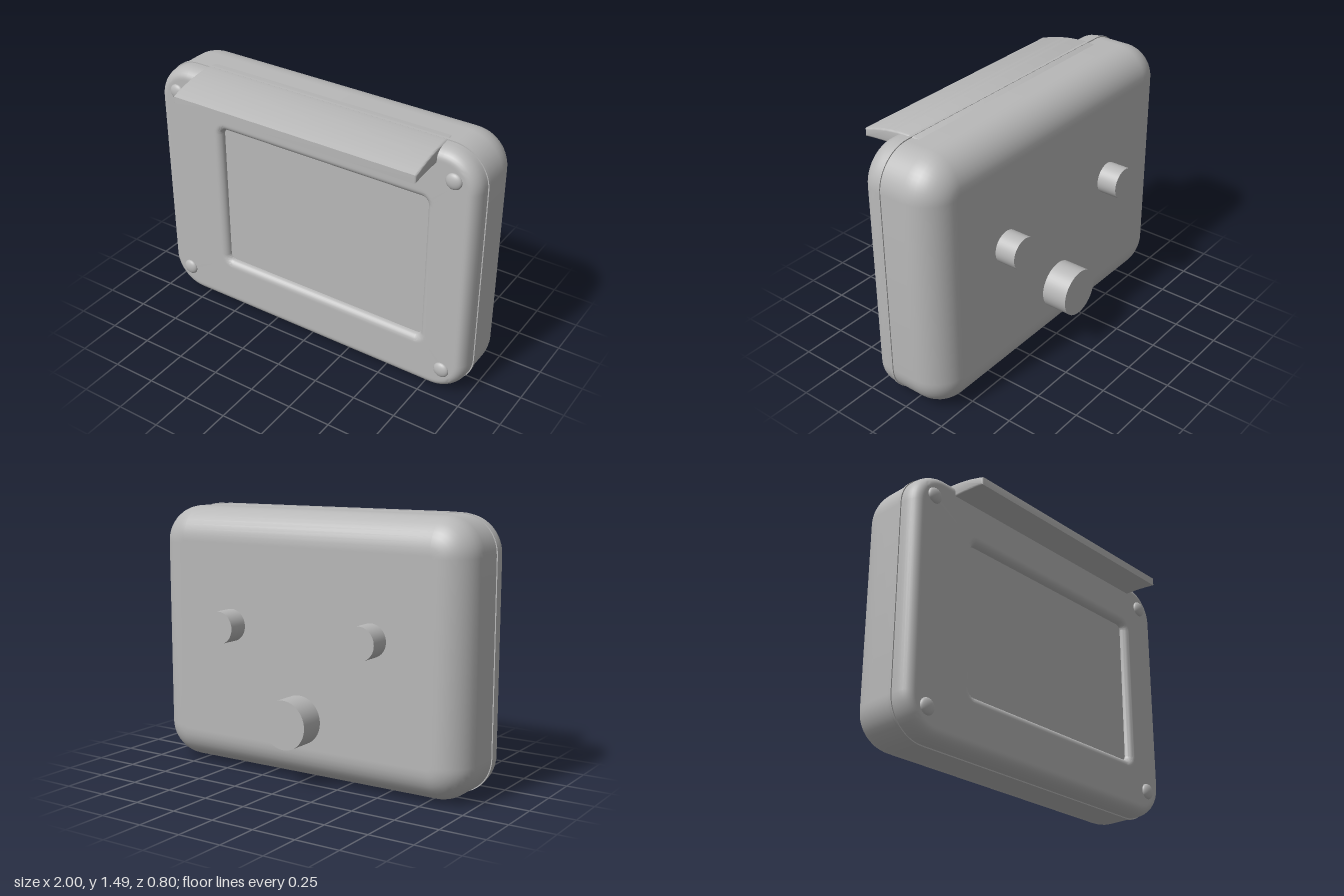
import * as THREE from 'three';
import { toCreasedNormals } from 'three/addons/utils/BufferGeometryUtils.js';

const CORNER_STEPS = 12;

// Rounded rectangle loop at depth z, counter-clockwise seen from the front
function loop(x0, x1, y0, y1, r, z) {
  const pts = [];
  const corners = [[x1 - r, y0 + r, -90], [x1 - r, y1 - r, 0], [x0 + r, y1 - r, 90], [x0 + r, y0 + r, 180]];
  for (const [cx, cy, start] of corners) {
    for (let i = 0; i <= CORNER_STEPS; i++) {
      const a = THREE.MathUtils.degToRad(start + 90 * i / CORNER_STEPS);
      pts.push(new THREE.Vector3(cx + r * Math.cos(a), cy + r * Math.sin(a), z));
    }
  }
  return pts;
}

// Skin a series of loops, running from back to front
function skin(loops, crease) {
  const pos = [];
  const tri = (a, b, c) => {
    if (a.distanceTo(b) < 1e-6 || b.distanceTo(c) < 1e-6 || c.distanceTo(a) < 1e-6) return;
    for (const p of [a, b, c]) pos.push(p.x, p.y, p.z);
  };
  for (let k = 0; k < loops.length - 1; k++) {
    const a = loops[k], b = loops[k + 1], n = a.length;
    for (let i = 0; i < n; i++) {
      const j = (i + 1) % n;
      tri(a[i], a[j], b[j]);
      tri(a[i], b[j], b[i]);
    }
  }
  const geo = new THREE.BufferGeometry();
  geo.setAttribute('position', new THREE.Float32BufferAttribute(pos, 3));
  return toCreasedNormals(geo, crease);
}

// Case outline, shrunk by inset
const outline = (inset, z) =>
  loop(-0.994 + inset, 0.994 - inset, 0.008 + inset, 1.482 - inset, Math.max(0.205 - inset, 0.01), z);

// Screen opening outline, grown by grow
const opening = (grow, z) =>
  loop(-0.572 - grow, 0.716 + grow, 0.312 - grow, 1.18 + grow, 0.035 + grow, z);

function caseGeometry() {
  const loops = [loop(0, 0, 0.745, 0.745, 0, -0.25), outline(0.19, -0.25)];
  const backR = 0.18, steps = 10;
  // large back rounding
  for (let i = 0; i <= steps; i++) {
    const a = i / steps * Math.PI / 2;
    loops.push(outline(backR * (1 - Math.sin(a)), -0.25 + backR * (1 - Math.cos(a))));
  }
  loops.push(outline(0, -0.06), outline(0, 0.105));
  // small front rounding
  for (let i = 0; i <= 8; i++) {
    const a = i / 8 * Math.PI / 2;
    loops.push(outline(0.055 * (1 - Math.cos(a)), 0.12 + 0.08 * Math.sin(a)));
  }
  loops.push(outline(0.065, 0.2), opening(0.05, 0.2));
  // rolled edge down into the screen recess
  for (let i = 0; i <= 8; i++) {
    const a = i / 8 * Math.PI / 2;
    loops.push(opening(0.04 * (1 - Math.sin(a)), 0.16 + 0.04 * Math.cos(a)));
  }
  loops.push(loop(0.072, 0.072, 0.746, 0.746, 0, 0.16));
  return skin(loops, 0.6);
}

// Sun hood: side profile swept across the width
function hoodGeometry() {
  const s = new THREE.Shape();
  s.moveTo(0, 1.4);
  s.lineTo(-0.2, 1.403);
  s.quadraticCurveTo(-0.3, 1.402, -0.4, 1.387);
  s.lineTo(-0.4, 1.433);
  s.quadraticCurveTo(-0.25, 1.487, -0.1, 1.488);
  s.lineTo(0, 1.478);
  s.closePath();
  const b = 0.01;
  const geo = new THREE.ExtrudeGeometry(s, {
    depth: 1.475 - 2 * b, curveSegments: 14,
    bevelEnabled: true, bevelSize: b, bevelOffset: -b, bevelThickness: b, bevelSegments: 3,
  });
  geo.rotateY(Math.PI / 2);
  geo.translate(-0.715 + b, 0, 0);
  return toCreasedNormals(geo, 0.55);
}

export function createModel() {
  const model = new THREE.Group();
  const grey = new THREE.MeshStandardMaterial({ color: 0xb8b8b8 });
  grey.name = 'grey';
  const add = (name, geo, x = 0, y = 0, z = 0) => {
    const mesh = new THREE.Mesh(geo, grey);
    mesh.name = name;
    mesh.position.set(x, y, z);
    model.add(mesh);
  };

  add('case', caseGeometry());

  // Thin seam between the two halves of the case
  const seam = [outline(0.02, 0.08), outline(-0.006, 0.08), outline(-0.006, 0.096), outline(0.02, 0.096)];
  add('seam', skin(seam, 0.5));

  add('hood', hoodGeometry());

  // Domed screws in the four corners
  const dome = new THREE.SphereGeometry(0.045, 28, 8, 0, Math.PI * 2, 0, Math.PI / 2);
  dome.rotateX(Math.PI / 2);
  dome.scale(1, 1, 0.5);
  for (const x of [-0.86, 0.86]) {
    for (const y of [0.157, 1.335]) add('screw', dome, x, y, 0.2);
  }

  // Connectors on the back
  const connector = (name, x, y, r, back) => {
    const length = back - 0.24;
    const geo = new THREE.CylinderGeometry(r, r, length, 48);
    geo.rotateX(Math.PI / 2);
    add(name, geo, x, y, -0.24 - length / 2);
  };
  connector('largeConnector', -0.003, 0.355, 0.136, 0.4);
  connector('smallConnector', -0.455, 0.837, 0.09, 0.37);
  connector('smallConnector', 0.45, 0.837, 0.09, 0.37);

  return model;
}
